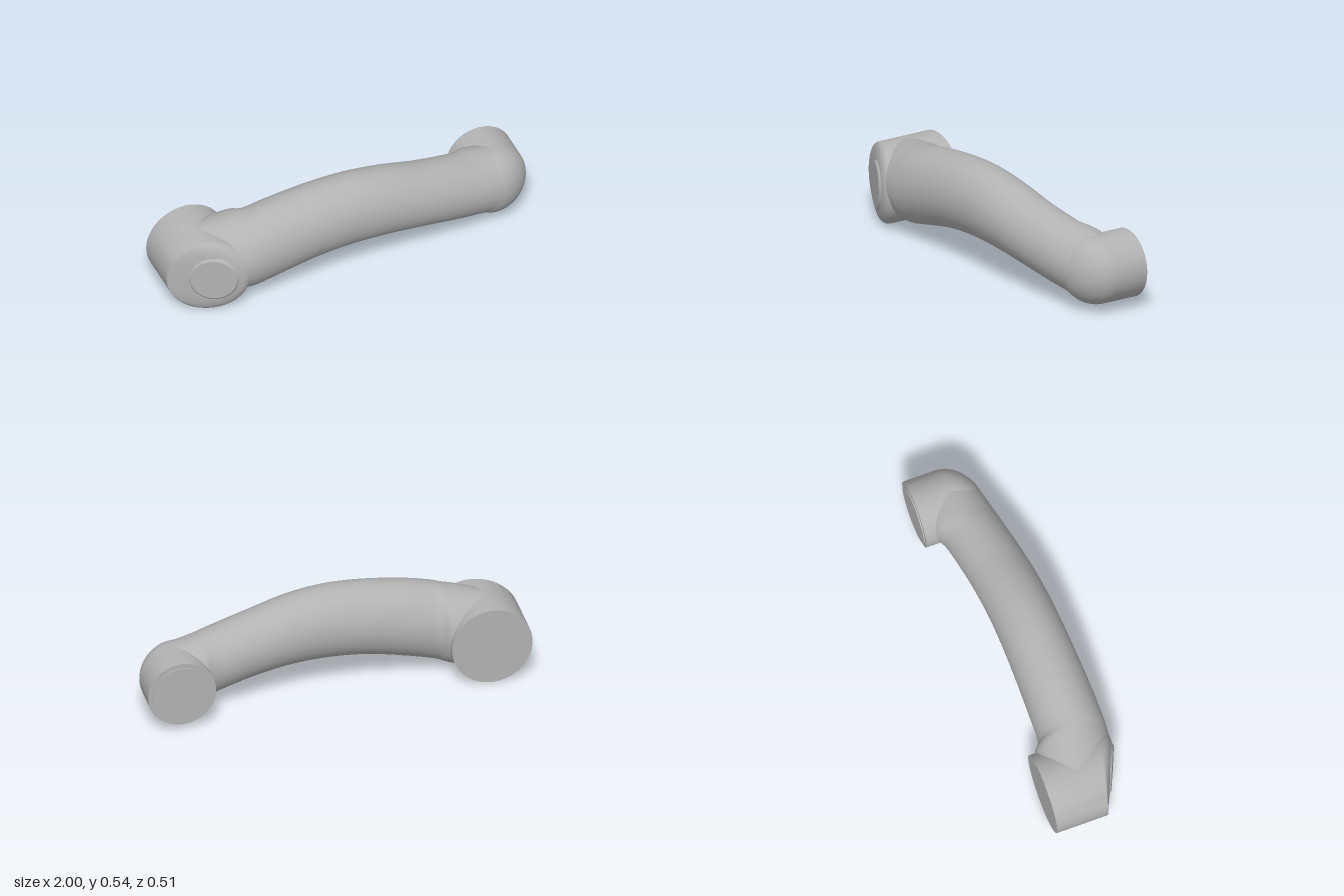
import * as THREE from 'three';
import { toCreasedNormals } from 'three/addons/utils/BufferGeometryUtils.js';

// Arm stations: x, top y, bottom y, front z, back z
const STATIONS = [
  [-0.8, 0.414, 0.0, 0.19, -0.155],
  [-0.7, 0.436, 0.021, 0.235, -0.155],
  [-0.6, 0.457, 0.043, 0.248, -0.14],
  [-0.54, 0.47, 0.055, 0.25, -0.1],
  [-0.4, 0.5, 0.09, 0.247, -0.096],
  [-0.2, 0.527, 0.132, 0.237, -0.096],
  [0, 0.535, 0.148, 0.225, -0.098],
  [0.2, 0.512, 0.143, 0.21, -0.107],
  [0.4, 0.463, 0.118, 0.185, -0.128],
  [0.58, 0.425, 0.083, 0.153, -0.158],
  [0.64, 0.413, 0.071, 0.142, -0.178],
  [0.7, 0.402, 0.059, 0.131, -0.21],
  [0.825, 0.382, 0.035, 0.105, -0.215],
];

// Loft of elliptical sections along x
function armGeometry(rows = 96, sides = 64) {
  const curve = (a, b) => new THREE.CatmullRomCurve3(
    STATIONS.map((s) => new THREE.Vector3(s[0], s[a], s[b])), false, 'catmullrom', 0.5);
  const heights = curve(1, 2), depths = curve(3, 4);
  const pos = [], index = [];
  for (let i = 0; i <= rows; i++) {
    const h = heights.getPoint(i / rows), d = depths.getPoint(i / rows);
    for (let j = 0; j < sides; j++) {
      const a = (j / sides) * Math.PI * 2;
      pos.push(h.x,
        (h.y + h.z) / 2 + Math.cos(a) * (h.y - h.z) / 2,
        (d.y + d.z) / 2 + Math.sin(a) * (d.y - d.z) / 2);
      if (i === rows) continue;
      const p = i * sides + j, q = i * sides + (j + 1) % sides;
      index.push(p, q, p + sides, q, q + sides, p + sides);
    }
  }
  const g = new THREE.BufferGeometry();
  g.setAttribute('position', new THREE.Float32BufferAttribute(pos, 3));
  g.setIndex(index);
  g.computeVertexNormals();
  return g;
}

// Round mounting end along z: flat back profile, front cap shaped by capZ(dx, rho)
function endGeometry(r, backProfile, capZ) {
  const pts = backProfile.map(([x, y]) => new THREE.Vector2(x, y));
  for (let i = 0; i <= 20; i++) {
    pts.push(new THREE.Vector2(r * Math.cos((i / 20) * Math.PI / 2), 1));
  }
  const g = new THREE.LatheGeometry(pts, 72);
  g.rotateX(Math.PI / 2);
  const p = g.attributes.position;
  for (let i = 0; i < p.count; i++) {
    if (p.getZ(i) < 0.9) continue;
    const x = p.getX(i);
    p.setZ(i, capZ(x, Math.min(1, Math.hypot(x, p.getY(i)) / r)));
  }
  return toCreasedNormals(g, 0.6);
}

export function createModel() {
  const group = new THREE.Group();
  const grey = new THREE.MeshStandardMaterial({ color: 0xb2b2b2 });
  grey.name = 'grey';
  const add = (name, geometry, x = 0, y = 0, z = 0) => {
    const mesh = new THREE.Mesh(geometry, grey);
    mesh.name = name;
    mesh.position.set(x, y, z);
    group.add(mesh);
    return mesh;
  };

  add('arm', armGeometry());

  // Larger end with a slanted, softly rounded front
  add('largeEnd', endGeometry(0.207, [[0, -0.169], [0.207, -0.169]],
    (x, rho) => 0.145 + 0.2 * x + 0.25 * (x + 0.207) * Math.sqrt(1 - rho ** 4)),
  -0.793, 0.207);

  // Smaller end with a domed front and a raised disc on its back
  add('smallEnd', endGeometry(0.175,
    [[0, -0.253], [0.15, -0.253], [0.15, -0.246], [0.175, -0.246]],
    (x, rho) => -0.04 - 0.2 * x + 0.145 * Math.sqrt(1 - rho * rho)),
  0.825, 0.208);

  // Shallow disc on the slanted front of the larger end
  const disc = new THREE.CylinderGeometry(0.115, 0.13, 0.012, 56);
  disc.rotateX(Math.PI / 2).rotateY(-0.42);
  add('frontDisc', disc, -0.785, 0.21, 0.2);

  return group;
}
